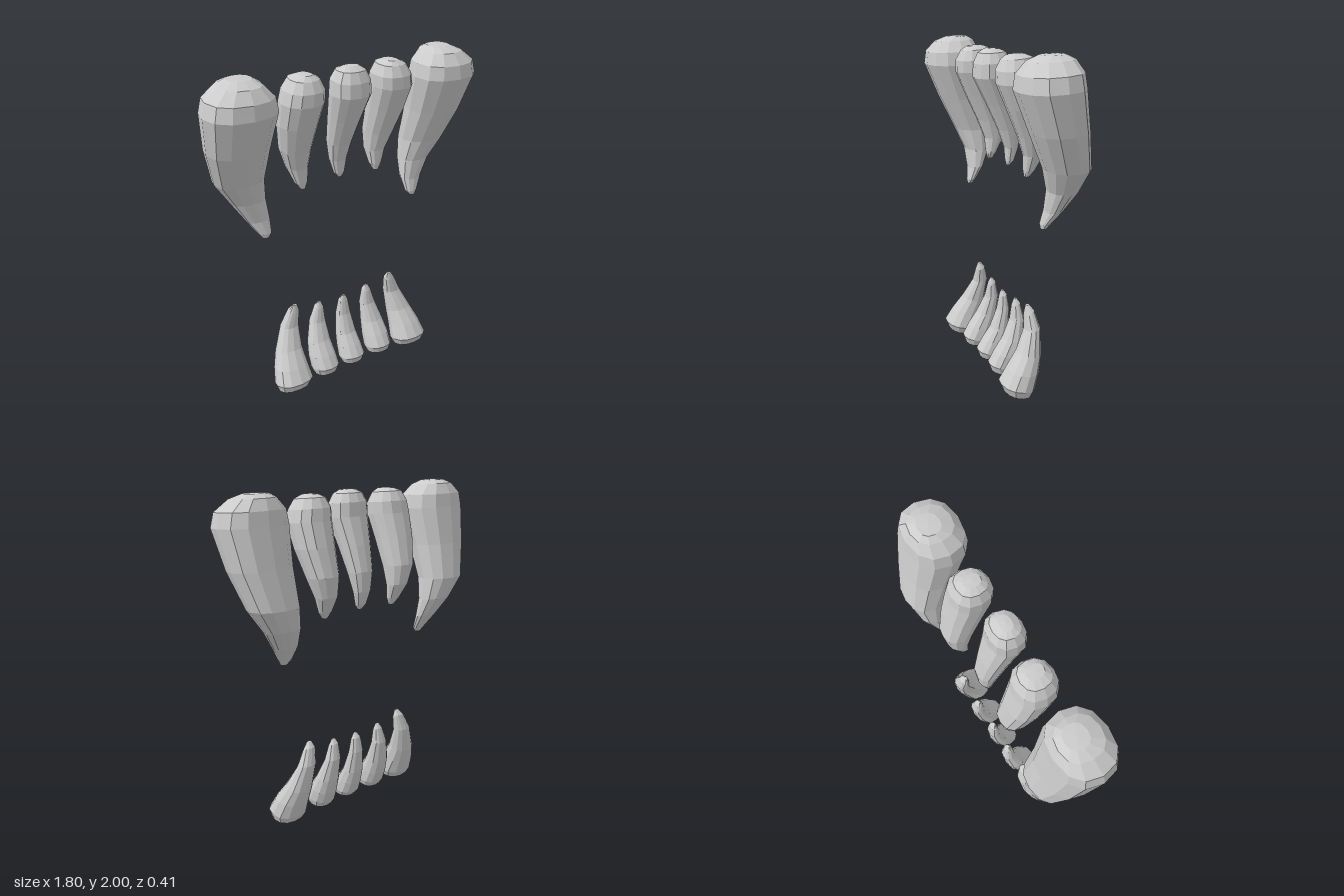
import * as THREE from 'three';

const SIDES = 12;
const material = new THREE.MeshStandardMaterial({ color: 0xcccccc, flatShading: true, roughness: 0.8 });

// Each ring, from top to bottom: [inner x, outer x, front z, front y, back z, back y]
const upperFang = [
  [.60, .74, .08, 1.995, -.05, 2.0],
  [.56, .80, .15, 1.965, -.09, 1.98],
  [.50, .88, .20, 1.90, -.12, 1.92],
  [.485, .90, .21, 1.82, -.13, 1.84],
  [.505, .865, .12, 1.60, -.165, 1.62],
  [.51, .80, .03, 1.40, -.205, 1.41],
  [.497, .71, -.015, 1.27, -.17, 1.28],
  [.487, .635, -.017, 1.15, -.11, 1.17],
  [.497, .58, 0, 1.075, -.05, 1.08],
  [.52, .56, -.002, 1.05, -.03, 1.05],
];
const upperSide = [
  [.25, .33, .09, 1.965, -.01, 1.97],
  [.21, .38, .12, 1.94, -.05, 1.955],
  [.183, .415, .15, 1.88, -.08, 1.90],
  [.183, .43, .15, 1.81, -.09, 1.83],
  [.195, .42, .09, 1.67, -.125, 1.69],
  [.205, .385, .02, 1.51, -.16, 1.53],
  [.215, .345, -.02, 1.40, -.14, 1.41],
  [.23, .31, -.025, 1.31, -.09, 1.32],
  [.25, .28, -.03, 1.275, -.06, 1.275],
];
const upperCentre = [
  [-.05, .05, .09, 1.975, .02, 1.975],
  [-.085, .085, .13, 1.95, -.02, 1.96],
  [-.115, .115, .155, 1.89, -.045, 1.91],
  [-.12, .12, .16, 1.81, -.05, 1.83],
  [-.095, .095, .08, 1.65, -.09, 1.67],
  [-.075, .075, .01, 1.50, -.12, 1.52],
  [-.055, .055, -.03, 1.39, -.11, 1.40],
  [-.035, .035, -.035, 1.31, -.085, 1.32],
  [-.012, .012, -.04, 1.287, -.06, 1.287],
];
const lowerOuter = [
  [.35, .38, 0, .54, -.02, .54],
  [.335, .41, .01, .49, -.045, .51],
  [.343, .455, .02, .40, -.07, .41],
  [.35, .515, .08, .28, -.055, .25],
  [.345, .55, .145, .19, -.03, .16],
  [.335, .57, .195, .11, 0, .07],
  [.355, .555, .175, .06, .025, .03],
  [.40, .50, .135, .04, .055, .01],
];
const lowerSide = [
  [.17, .195, -.01, .502, -.025, .502],
  [.155, .215, .005, .46, -.045, .475],
  [.145, .245, .02, .37, -.065, .38],
  [.137, .28, .07, .26, -.05, .24],
  [.128, .293, .125, .18, -.03, .15],
  [.125, .293, .165, .11, -.005, .08],
  [.14, .28, .15, .065, .02, .045],
  [.17, .24, .115, .05, .05, .035],
];
const lowerCentre = [
  [-.013, .013, -.005, .488, -.02, .488],
  [-.032, .032, .005, .45, -.04, .46],
  [-.047, .047, .02, .36, -.055, .37],
  [-.065, .065, .065, .24, -.045, .23],
  [-.075, .075, .115, .17, -.025, .145],
  [-.08, .08, .155, .105, 0, .075],
  [-.065, .065, .14, .06, .025, .045],
  [-.03, .03, .11, .045, .055, .032],
];

// Lofts tilted, slightly squared rings into a closed tooth; side -1 mirrors it
function makeTooth(name, rings, side = 1, lift = 0) {
  const positions = [], index = [];
  const soften = v => Math.sign(v) * Math.abs(v) ** 0.85;
  for (const [x0, x1, zf, yf, zb, yb] of rings) {
    for (let j = 0; j < SIDES; j++) {
      const t = j / SIDES * Math.PI * 2;
      const u = soften(Math.cos(t)), v = soften(Math.sin(t));
      positions.push(
        side * (x0 + x1) / 2 + u * (x1 - x0) / 2,
        (yf + yb) / 2 + v * (yf - yb) / 2 + lift,
        (zf + zb) / 2 + v * (zf - zb) / 2);
    }
  }
  // Centre points closing both ends
  const first = rings[0], last = rings[rings.length - 1];
  const topPole = rings.length * SIDES, bottomPole = topPole + 1;
  for (const [r, dy] of [[first, .004], [last, -.004]]) {
    positions.push(side * (r[0] + r[1]) / 2, (r[3] + r[5]) / 2 + dy + lift, (r[2] + r[4]) / 2);
  }
  const base = (rings.length - 1) * SIDES;
  for (let j = 0; j < SIDES; j++) {
    const k = (j + 1) % SIDES;
    for (let i = 0; i < base; i += SIDES) {
      index.push(i + j, i + k, i + SIDES + j, i + k, i + SIDES + k, i + SIDES + j);
    }
    index.push(topPole, k, j, bottomPole, base + j, base + k);
  }
  const indexed = new THREE.BufferGeometry();
  indexed.setAttribute('position', new THREE.Float32BufferAttribute(positions, 3));
  indexed.setIndex(index);
  const geometry = indexed.toNonIndexed();
  geometry.computeVertexNormals();
  const mesh = new THREE.Mesh(geometry, material);
  mesh.name = name;
  return mesh;
}

export function createModel() {
  const model = new THREE.Group();
  model.name = 'teeth';
  const upper = new THREE.Group(), lower = new THREE.Group();
  upper.name = 'upperTeeth';
  lower.name = 'lowerTeeth';

  upper.add(makeTooth('upperCentreTooth', upperCentre));
  lower.add(makeTooth('lowerCentreTooth', lowerCentre));
  for (const [label, side] of [['Left', 1], ['Right', -1]]) {
    upper.add(makeTooth('upperFang' + label, upperFang, side));
    upper.add(makeTooth('upperSideTooth' + label, upperSide, side));
    // The left lower outer tooth sits a touch deeper
    lower.add(makeTooth('lowerOuterTooth' + label, lowerOuter, side, side > 0 ? -.006 : .006));
    lower.add(makeTooth('lowerSideTooth' + label, lowerSide, side));
  }
  model.add(upper, lower);
  return model;
}
